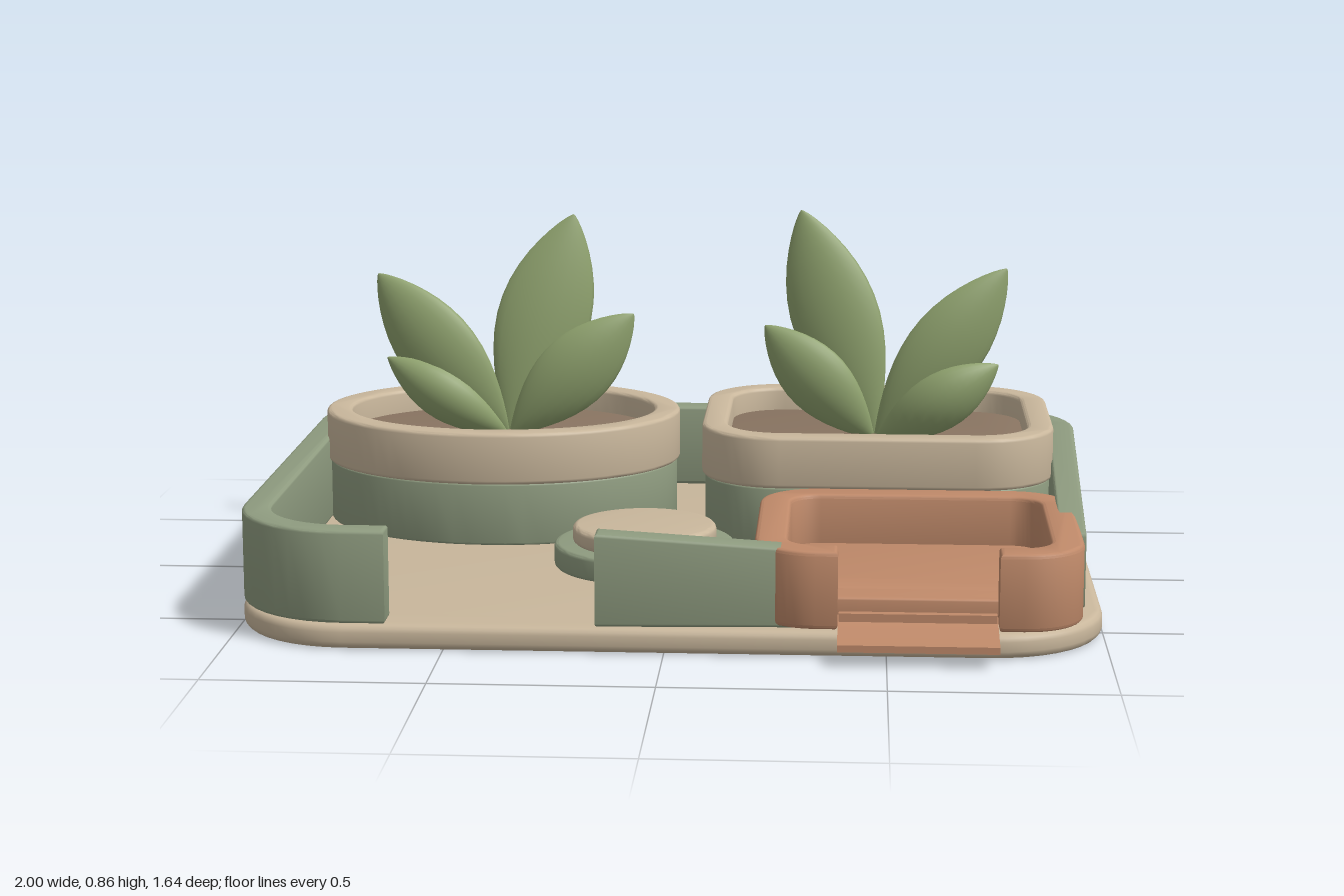
import * as THREE from 'three';
import { toCreasedNormals } from 'three/addons/utils/BufferGeometryUtils.js';

const mat = (name, color) => {
  const m = new THREE.MeshStandardMaterial({ color });
  m.name = name;
  return m;
};

// Points (x, z) along a rounded rectangle: from (startX, z1) on the front, round the left, back and right
function loop(x0, x1, z0, z1, r, startX, corners = 4) {
  const centres = [[x0 + r, z1 - r], [x0 + r, z0 + r], [x1 - r, z0 + r], [x1 - r, z1 - r]];
  const pts = startX === undefined ? [] : [new THREE.Vector2(startX, z1)];
  for (let c = 0; c < corners; c++) {
    for (let i = 0; i <= 10; i++) {
      const a = Math.PI / 2 * (c + 1 + i / 10);
      pts.push(new THREE.Vector2(centres[c][0] + r * Math.cos(a), centres[c][1] + r * Math.sin(a)));
    }
  }
  return pts;
}

function oval(cx, cz, rx, rz, n = 64) {
  return Array.from({ length: n }, (_, i) => {
    const a = i / n * Math.PI * 2;
    return new THREE.Vector2(cx + rx * Math.cos(a), cz + rz * Math.sin(a));
  });
}

// Plan outline raised from y0 to y1 with softened edges
function slab(outline, y0, y1, bevel = 0.01, hole, topRule) {
  const shape = new THREE.Shape(outline);
  if (hole) shape.holes.push(new THREE.Path(hole));
  const g = new THREE.ExtrudeGeometry(shape, {
    depth: y1 - y0 - 2 * bevel, bevelEnabled: true, bevelSize: bevel,
    bevelThickness: bevel, bevelOffset: -bevel, bevelSegments: 3,
  });
  g.rotateX(Math.PI / 2).translate(0, y1 - bevel, 0);
  if (topRule) {
    const p = g.attributes.position;
    for (let i = 0; i < p.count; i++) {
      if (p.getY(i) > (y0 + y1) / 2) p.setY(i, p.getY(i) - topRule(p.getX(i), p.getZ(i)));
    }
  }
  return toCreasedNormals(g, 0.6);
}

// Cupped, pointed leaf from base to tip; bow pushes the middle forward, yaw turns the blade
function leafGeometry(base, tip, halfWidth, bow, yaw) {
  const g = new THREE.SphereGeometry(1, 20, 20);
  const p = g.attributes.position;
  const dx = tip[0] - base[0], dy = tip[1] - base[1], len = Math.hypot(dx, dy);
  for (let i = 0; i < p.count; i++) {
    const y = p.getY(i), t = (1 + y) / 2;
    const s = Math.max(Math.sqrt(Math.max(0, 1 - y * y)), 1e-4);
    const w = Math.pow(Math.max(0, Math.sin(Math.PI * Math.pow(t, 1.1))), 0.8);
    const cx = p.getX(i) / s, cz = p.getZ(i) / s;
    const u = cx * w * halfWidth;
    p.setXYZ(i,
      base[0] + dx * t + u * dy / len,
      base[1] + dy * t - u * dx / len,
      base[2] + (tip[2] - base[2]) * t + bow * 4 * t * (1 - t) + yaw * u
        + cz * w * 0.02 - 0.02 * cx * cx * w);
  }
  g.computeVertexNormals();
  return g;
}

export function createModel() {
  const cream = mat('cream', 0xc9b79c);
  const sage = mat('sage green', 0x8f9c80);
  const soil = mat('soil brown', 0x8a7562);
  const clay = mat('terracotta', 0xc08a6a);
  const leafGreen = mat('leaf green', 0x8fa26e);

  const model = new THREE.Group();
  const add = (name, geometry, material, parent = model) => {
    const m = new THREE.Mesh(geometry, material);
    m.name = name;
    parent.add(m);
    return m;
  };
  const group = (name) => {
    const g = new THREE.Group();
    g.name = name;
    model.add(g);
    return g;
  };

  // Base plate
  add('basePlate', slab(loop(-1, 1, -0.82, 0.745, 0.27), 0, 0.058, 0.018), cream);

  // Perimeter wall; its right side leans inward and drops toward the front
  const wallOuter = loop(-1, 1, -0.82, 0.742, 0.27, -0.63, 3);
  const wallInner = loop(-0.932, 0.932, -0.752, 0.674, 0.202, -0.63, 3);
  wallOuter.push(new THREE.Vector2(0.957, 0.51));
  wallInner.push(new THREE.Vector2(0.893, 0.51));
  const sideDrop = (x, z) => (x > 0.5 ? 0.036 * THREE.MathUtils.clamp((z + 0.55) / 1.06, 0, 1) : 0);
  add('perimeterWall', slab([...wallOuter, ...wallInner.reverse()], 0.06, 0.275, 0.008, null, sideDrop), sage);

  // Short front wall beside the tray
  const frontWall = [[-0.155, 0.675], [0.29, 0.655], [0.29, 0.72], [-0.155, 0.74]]
    .map(([x, z]) => new THREE.Vector2(x, z));
  add('frontWall', slab(frontWall, 0.06, 0.275, 0.008, null, (x) => 0.032 * (x + 0.155) / 0.445), sage);

  // Pots: sage body, cream rim and a sunken bed of soil
  const pots = [
    ['ovalPot', (d) => oval(-0.49, -0.38, 0.46 - d, 0.365 - d)],
    ['squarePot', (d) => loop(0.037 + d, 0.925 - d, -0.745 + d, -0.015 - d, 0.2 - d)],
  ];
  for (const [name, outline] of pots) {
    const pot = group(name);
    add('potBody', slab(outline(0.008), 0.058, 0.216, 0.006), sage, pot);
    add('potRim', slab(outline(0), 0.214, 0.345, 0.01, outline(0.066)), cream, pot);
    add('soil', slab(outline(0.06), 0.21, 0.285, 0.004), soil, pot);
  }

  // Plants: base, then [tip, half width, bow, yaw] for each leaf
  const plants = [
    ['leftPlant', [-0.475, 0.27, -0.375], [
      [[-0.31, 0.84, -0.455], 0.12, 0.015, -0.12],
      [[-0.815, 0.69, -0.39], 0.105, 0.04, 0.12],
      [[-0.15, 0.59, -0.39], 0.095, 0.03, -0.1],
      [[-0.79, 0.475, -0.36], 0.065, 0.05, 0.12],
    ]],
    ['rightPlant', [0.475, 0.27, -0.375], [
      [[0.28, 0.855, -0.46], 0.115, 0.015, 0.12],
      [[0.81, 0.715, -0.4], 0.1, 0.035, -0.1],
      [[0.19, 0.565, -0.38], 0.085, 0.03, 0.12],
      [[0.79, 0.475, -0.34], 0.075, 0.05, -0.1],
    ]],
  ];
  for (const [name, base, leaves] of plants) {
    const plant = group(name);
    for (const [tip, width, bow, yaw] of leaves) {
      add('leaf', leafGeometry(base, tip, width, bow, yaw), leafGreen, plant);
    }
  }

  // Round pedestal
  const pedestal = group('pedestal');
  add('pedestalBase', slab(oval(-0.085, 0.14, 0.22, 0.22), 0.058, 0.117, 0.01), sage, pedestal);
  add('pedestalTop', slab(oval(-0.085, 0.14, 0.175, 0.175), 0.115, 0.16, 0.012), cream, pedestal);

  // Terracotta tray with an open front
  const tray = group('tray');
  const rimOuter = loop(0.2, 0.945, 0.1, 0.755, 0.14, 0.39);
  const rimInner = loop(0.275, 0.87, 0.175, 0.68, 0.07, 0.39);
  rimOuter.push(new THREE.Vector2(0.75, 0.755));
  rimInner.push(new THREE.Vector2(0.75, 0.68));
  add('trayRim', slab([...rimOuter, ...rimInner.reverse()], 0.066, 0.245, 0.01), clay, tray);
  add('trayFloor', slab(loop(0.25, 0.89, 0.15, 0.69, 0.08), 0.066, 0.125, 0.006), clay, tray);

  // Curved pouring lip, swept across the opening
  const top = new THREE.SplineCurve([[0.54, 0.131], [0.6, 0.127], [0.66, 0.104], [0.71, 0.074], [0.76, 0.06], [0.82, 0.05]]
    .map(([z, y]) => new THREE.Vector2(z, y))).getPoints(20);
  const under = top.map((p) => new THREE.Vector2(p.x, p.y - 0.016)).reverse();
  const lip = new THREE.ExtrudeGeometry(new THREE.Shape([...top, ...under]), { depth: 0.36, bevelEnabled: false });
  lip.rotateY(-Math.PI / 2).translate(0.75, 0, 0);
  add('trayLip', toCreasedNormals(lip, 0.6), clay, tray);
  // Fill under the lip, closing the gap to the floor
  const fill = new THREE.BoxGeometry(0.355, 0.035, 0.06);
  add('lipSupport', fill.translate(0.57, 0.0755, 0.68), clay, tray);

  return model;
}
